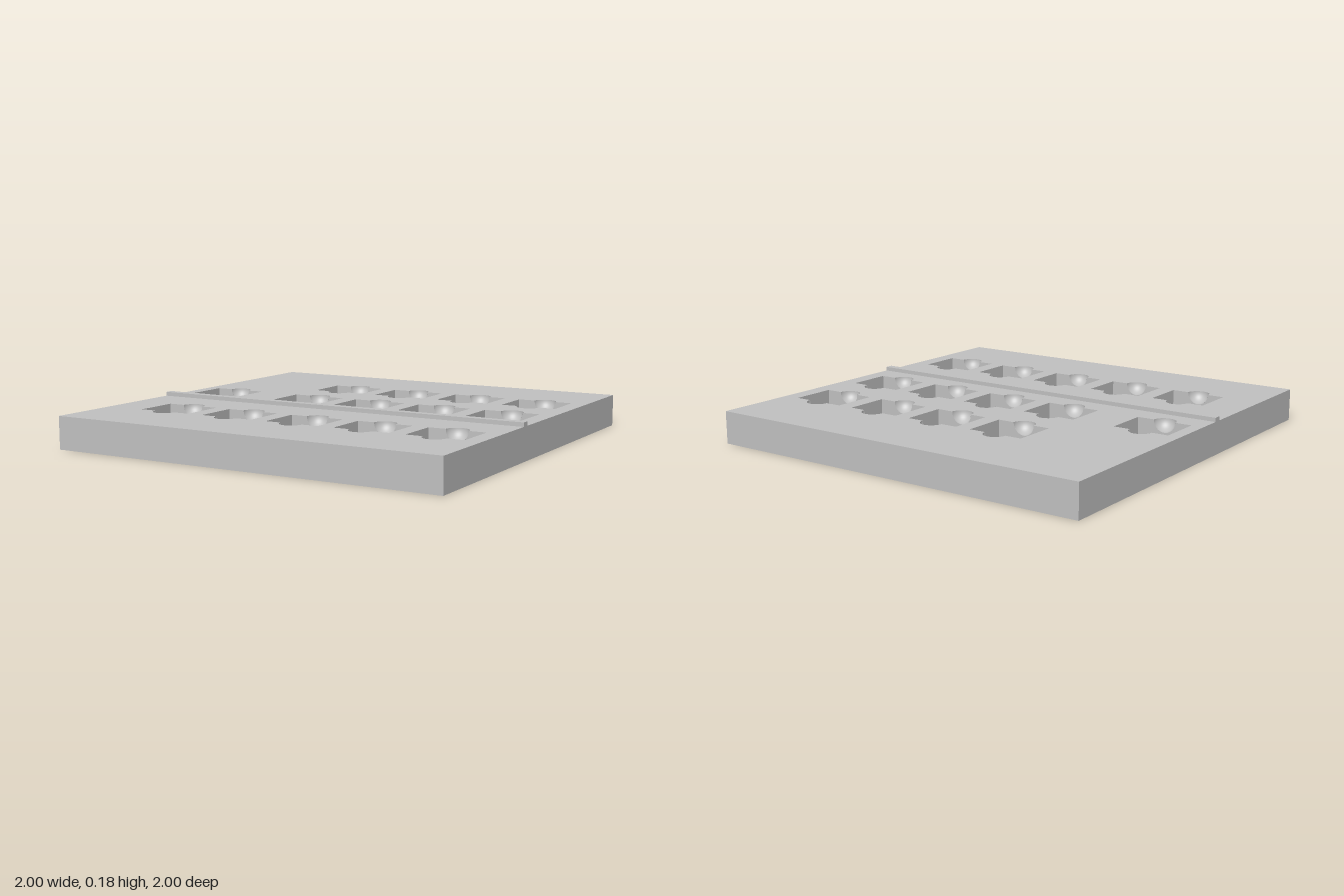
import * as THREE from 'three';

const TOP = 0.16;            // height of the slab
const W = 0.14, D = 0.11;    // half width and half length of a pocket
const DEPTH = 0.1;           // pocket depth
const R = 0.056;             // finger scoop radius

// pocket rows: z of the row and x of each pocket
const ROWS = [
  { z: -0.49, xs: [-0.3, 0.06, 0.42, 0.78] },
  { z: -0.07, xs: [-0.8, -0.3, 0.06, 0.42, 0.78] },
  { z: 0.53, xs: [-0.66, -0.3, 0.06, 0.42, 0.78] },
];

// rectangle with a half circle bulging from its front and back edges
function pocketOutline(x, y) {
  const p = new THREE.Path();
  p.moveTo(x - W, y - D);
  p.lineTo(x - R, y - D);
  p.absarc(x, y - D, R, Math.PI, 2 * Math.PI, false);
  p.lineTo(x + W, y - D);
  p.lineTo(x + W, y + D);
  p.lineTo(x + R, y + D);
  p.absarc(x, y + D, R, 0, Math.PI, false);
  p.lineTo(x - W, y + D);
  p.closePath();
  return p;
}

// pocket wall with a half circle cut out of its upper edge
function notchedWall() {
  const s = new THREE.Shape();
  s.moveTo(-W, -DEPTH);
  s.lineTo(W, -DEPTH);
  s.lineTo(W, 0);
  s.lineTo(R, 0);
  s.absarc(0, 0, R, 0, -Math.PI, true);
  s.lineTo(-W, 0);
  s.closePath();
  return new THREE.ShapeGeometry(s, 16);
}

export function createModel() {
  const model = new THREE.Group();
  model.name = 'slottedTray';
  const grey = new THREE.MeshStandardMaterial({ color: 0xc0c0c0, side: THREE.DoubleSide });
  grey.name = 'grey';

  const add = (parent, name, geometry, x = 0, y = 0, z = 0) => {
    const mesh = new THREE.Mesh(geometry, grey);
    mesh.name = name;
    mesh.position.set(x, y, z);
    parent.add(mesh);
    return mesh;
  };

  // slab sides and underside: a box without its top face
  const body = new THREE.BoxGeometry(2, TOP, 2);
  body.setIndex(Array.from(body.index.array).filter((_, i) => i < 12 || i >= 18));
  body.clearGroups();
  add(model, 'slabBody', body, 0, TOP / 2, 0);

  // pierced top surface
  const top = new THREE.Shape([
    new THREE.Vector2(-1, -1), new THREE.Vector2(1, -1),
    new THREE.Vector2(1, 1), new THREE.Vector2(-1, 1),
  ]);
  for (const { z, xs } of ROWS) for (const x of xs) top.holes.push(pocketOutline(x, -z));
  add(model, 'slabTop', new THREE.ShapeGeometry(top, 16).rotateX(-Math.PI / 2), 0, TOP, 0);

  // raised rib across the slab
  add(model, 'rib', new THREE.BoxGeometry(2, 0.02, 0.04), 0, TOP + 0.01, 0.18);

  // pocket interiors
  const floor = new THREE.PlaneGeometry(2 * W, 2 * D).rotateX(-Math.PI / 2);
  const side = new THREE.PlaneGeometry(2 * D, DEPTH).rotateY(Math.PI / 2);
  const wall = notchedWall();
  const scoop = new THREE.SphereGeometry(R, 24, 10, 0, Math.PI, Math.PI / 2, Math.PI / 2);

  for (const { z, xs } of ROWS) for (const x of xs) {
    const pocket = new THREE.Group();
    pocket.name = 'pocket';
    pocket.position.set(x, TOP, z);
    model.add(pocket);
    add(pocket, 'pocketFloor', floor, 0, -DEPTH, 0);
    for (const s of [-1, 1]) {
      const turn = s < 0 ? 0 : Math.PI;
      add(pocket, 'pocketSide', side, s * W, -DEPTH / 2, 0).rotation.y = turn;
      add(pocket, 'pocketWall', wall, 0, 0, s * D).rotation.y = turn;
      add(pocket, 'fingerScoop', scoop, 0, 0, s * D).rotation.y = Math.PI - turn;
    }
  }
  return model;
}
